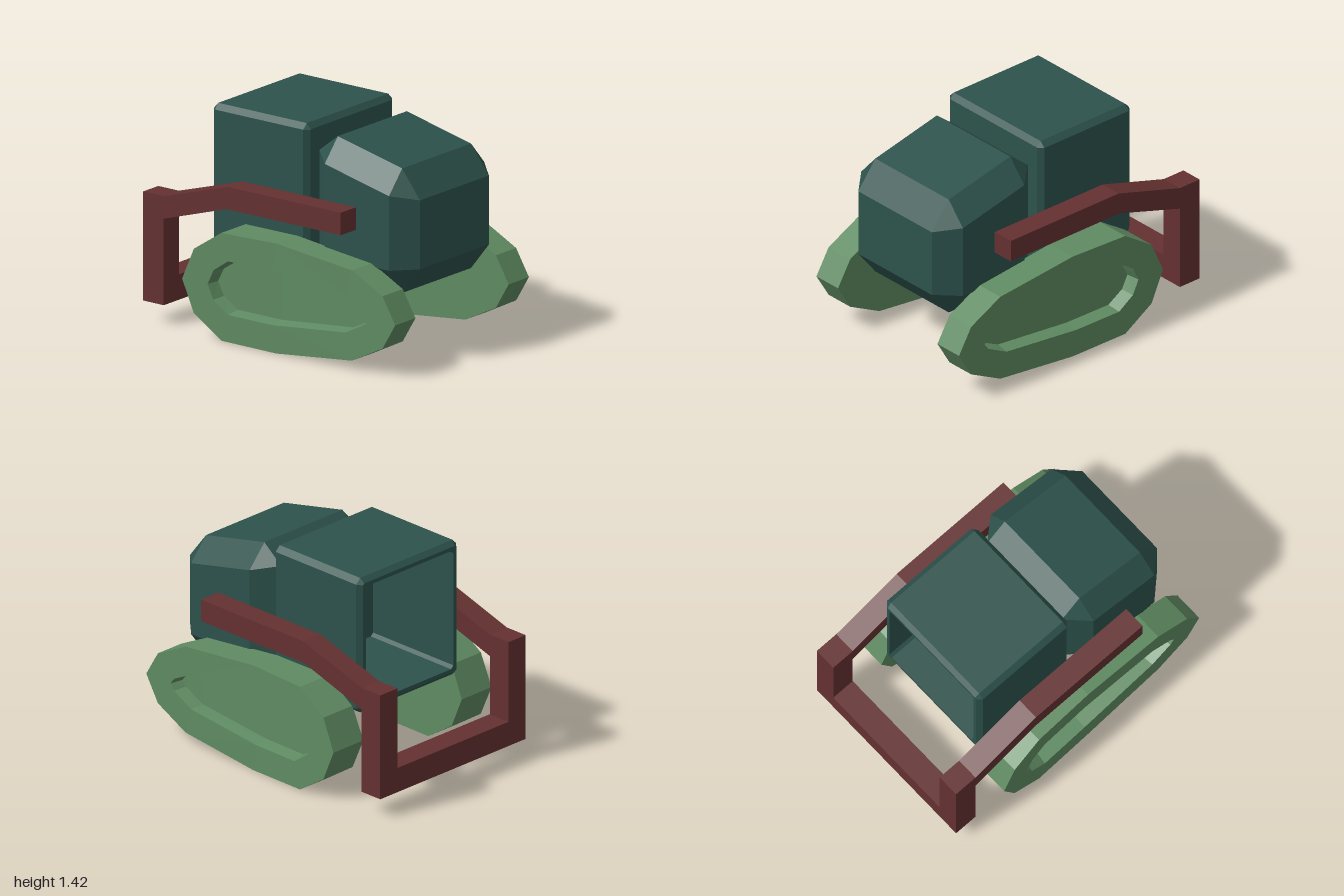
import * as THREE from 'three';
import { ConvexGeometry } from 'three/addons/geometries/ConvexGeometry.js';

const paint = (color) => new THREE.MeshStandardMaterial({ color, flatShading: true });

// Skin a series of equal-sized rings and close both ends
function loft(rings, flip = false) {
  const n = rings[0].length;
  const index = [];
  const quad = (a, b, c, d) => {
    if (flip) index.push(a, c, b, a, d, c);
    else index.push(a, b, c, a, c, d);
  };
  for (let r = 0; r < rings.length - 1; r++) {
    for (let i = 0; i < n; i++) {
      const j = (i + 1) % n, a = r * n, b = a + n;
      quad(a + i, b + i, b + j, a + j);
    }
  }
  const last = (rings.length - 1) * n;
  for (let i = 0; i < n / 2; i++) {
    const u = i, v = i + 1, lu = (n - u) % n, lv = n - v;
    quad(u, v, lv, lu);
    quad(last + u, last + lu, last + lv, last + v);
  }
  const g = new THREE.BufferGeometry();
  g.setAttribute('position', new THREE.Float32BufferAttribute(rings.flat(2), 3));
  g.setIndex(index);
  const flat = g.toNonIndexed();
  flat.computeVertexNormals();
  return flat;
}

// Upper half of an outline, mirrored below the track's centre line
function trackOutline(upper) {
  const lower = upper.slice(1, -1).reverse().map(([x, y]) => [x, -y]);
  return [...upper, ...lower];
}

// Track pod: widens towards the rear, with a long recess on its outer face
function trackGeometry(side) {
  const outer = trackOutline([[-0.65, 0], [-0.56, 0.207], [-0.35, 0.346], [0.07, 0.353],
    [0.66, 0.29], [0.9, 0.168], [1, 0]]);
  const mouth = trackOutline([[-0.455, 0], [-0.41, 0.095], [-0.3, 0.172], [0.04, 0.176],
    [0.61, 0.118], [0.76, 0.04], [0.79, 0]]);
  const floor = mouth.map(([x, y]) => [0.1 + (x - 0.1) * 0.98, y * 0.92]);
  const half = (x) => 0.1 + 0.03 * Math.max(0, (0.25 - x) / 0.9);
  const ring = (pts, z) => pts.map(([x, y]) => [x, y + 0.357, side * (0.56 + z(x))]);
  return loft([
    ring(outer, (x) => -half(x)),
    ring(outer, half),
    ring(mouth, half),
    ring(floor, (x) => half(x) - 0.09),
  ], side < 0);
}

// Chamfered box, hollow and open at the rear
function bodyGeometry() {
  const ring = (x, inset, c) => {
    const w = 0.437 - inset, lo = 0.52 + inset, hi = 1.427 - inset;
    return [[-w, lo + c], [-w, hi - c], [c - w, hi], [w - c, hi],
      [w, hi - c], [w, lo + c], [w - c, lo], [c - w, lo]].map(([z, y]) => [x, y, z]);
  };
  return loft([
    ring(0.13, 0.035, 0.003),
    ring(0.1, 0, 0.035),
    ring(-0.595, 0, 0.035),
    ring(-0.625, 0.03, 0.01),
    ring(-0.625, 0.055, 0.02),
    ring(0.07, 0.055, 0.02),
  ]);
}

// Faceted cab: a sloped block with every edge and corner cut
function cabGeometry() {
  const pts = [];
  for (const s of [-1, 1]) {
    for (const [x, y, z] of [
      [0.295, 1.365, 0.34], [0.8, 1.252, 0.34], [0.8, 0.453, 0.34], [0.295, 0.453, 0.34],
      [0.295, 1.217, 0.47], [0.8, 1.104, 0.47], [0.8, 0.625, 0.47], [0.295, 0.625, 0.47],
      [0.15, 1.25, 0.34], [0.15, 0.625, 0.34], [0.94, 1.073, 0.34], [0.94, 0.63, 0.34],
    ]) pts.push(new THREE.Vector3(x, y, s * z));
  }
  return new ConvexGeometry(pts);
}

// Bent arm ending in a rear upright
function armGeometry() {
  const shape = new THREE.Shape([[-1, 0.137], [-0.838, 0.137], [-0.838, 0.692], [-0.345, 0.846],
    [0.552, 0.846], [0.552, 0.99], [-0.335, 0.99], [-0.838, 0.837], [-1, 0.837],
  ].map(([x, y]) => new THREE.Vector2(x, y)));
  return new THREE.ExtrudeGeometry(shape, { depth: 0.15, bevelEnabled: false });
}

export function createModel() {
  const model = new THREE.Group();
  const teal = paint(0x2d524c), green = paint(0x5f8b62), red = paint(0x643030);
  const add = (name, geometry, material) => {
    const mesh = new THREE.Mesh(geometry, material);
    mesh.name = name;
    model.add(mesh);
    return mesh;
  };

  add('rearBody', bodyGeometry(), teal);
  add('cab', cabGeometry(), teal);

  for (const [label, side] of [['left', 1], ['right', -1]]) {
    add(label + 'Track', trackGeometry(side), green);
    add(label + 'Arm', armGeometry(), red).position.z = side > 0 ? 0.485 : -0.635;
  }

  // Crossbar joining the two uprights
  add('crossbar', new THREE.BoxGeometry(0.162, 0.163, 0.97), red).position.set(-0.919, 0.2185, 0);

  return model;
}
